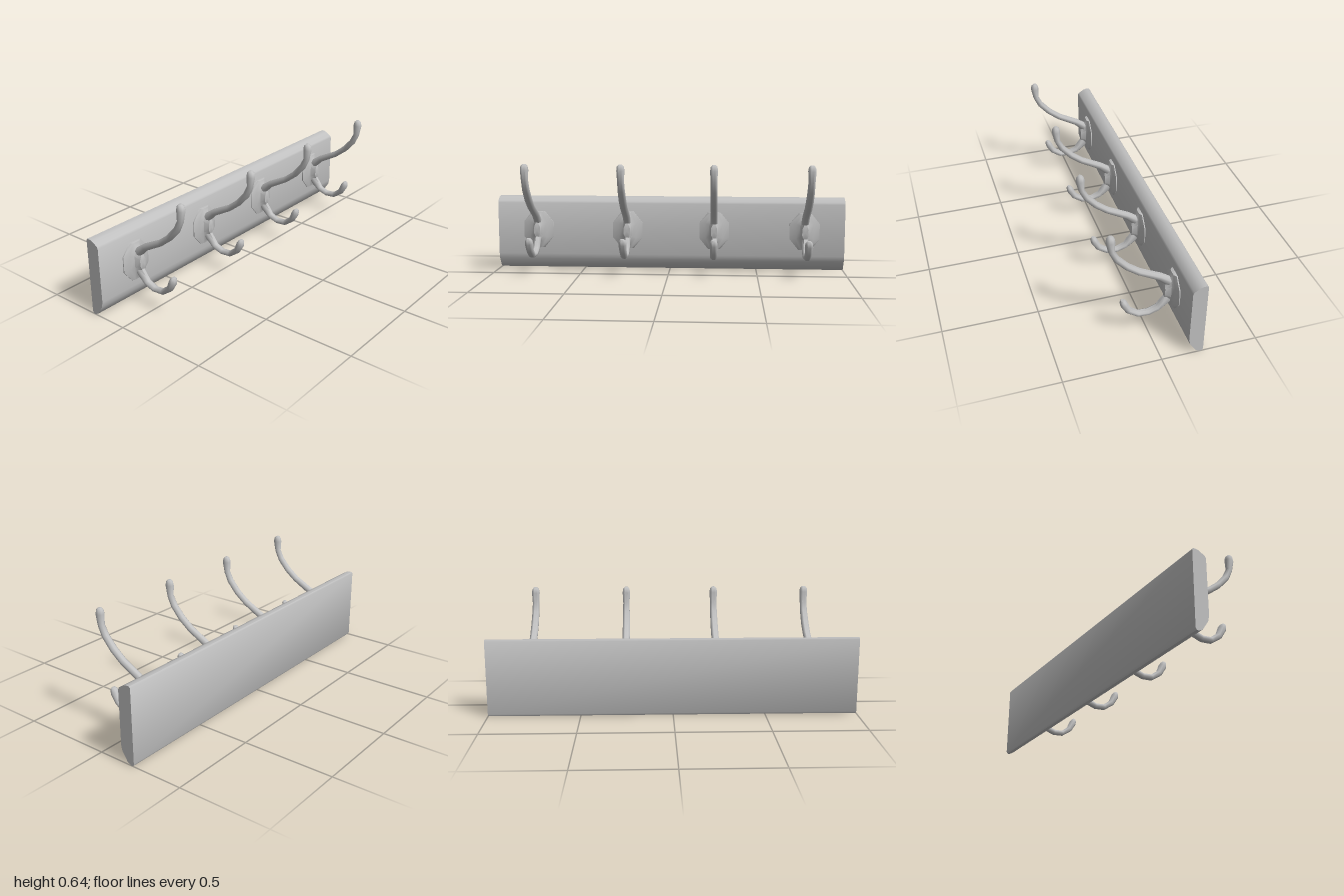
import * as THREE from 'three';
import { toCreasedNormals } from 'three/addons/utils/BufferGeometryUtils.js';

const SIDES = 8;

// Closed skin over rings { y, z, rx, vy, vz }: each spans rx along x and the vector (vy, vz) in the y-z plane.
function loft(rings) {
  const pos = [], idx = [];
  const scale = 1 / Math.cos(Math.PI / SIDES); // flats, not corners, touch the given radius
  for (const r of rings) {
    for (let j = 0; j < SIDES; j++) {
      const a = ((j + 0.5) / SIDES) * Math.PI * 2;
      const s = Math.sin(a) * scale;
      pos.push(r.rx * Math.cos(a) * scale, r.y + r.vy * s, r.z + r.vz * s);
    }
  }
  const last = rings.length - 1;
  const start = pos.length / 3, end = start + 1;
  pos.push(0, rings[0].y, rings[0].z, 0, rings[last].y, rings[last].z);
  for (let j = 0; j < SIDES; j++) {
    const k = (j + 1) % SIDES;
    for (let i = 0; i < last; i++) {
      const a = i * SIDES + j, b = i * SIDES + k;
      idx.push(a, b, a + SIDES, b, b + SIDES, a + SIDES);
    }
    idx.push(k, j, start, last * SIDES + j, last * SIDES + k, end);
  }
  const g = new THREE.BufferGeometry();
  g.setAttribute('position', new THREE.Float32BufferAttribute(pos, 3));
  g.setIndex(idx);
  return toCreasedNormals(g, 0.95);
}

// Tapering arm along points [z, y, radius in side view, half width].
function arm(points) {
  return loft(points.map(([z, y, r, rx], i) => {
    const p = points[Math.max(i - 1, 0)], n = points[Math.min(i + 1, points.length - 1)];
    const dz = n[0] - p[0], dy = n[1] - p[1], len = Math.hypot(dz, dy);
    return { y, z, rx, vy: (r * dz) / len, vz: (-r * dy) / len };
  }));
}

export function createModel() {
  const model = new THREE.Group();
  model.name = 'hookRail';
  const grey = new THREE.MeshStandardMaterial({ color: 0xc0c0c0 });
  grey.name = 'grey';

  // Board: side profile (depth, height) extruded along x
  const profile = [
    [0.138, 0.09], [0.145, 0.06], [0.178, 0.011], [0.198, 0.001], [0.21, 0.002], [0.216, 0.013],
    [0.216, 0.415], [0.21, 0.423], [0.192, 0.423], [0.175, 0.418], [0.145, 0.399], [0.139, 0.388],
  ];
  const shape = new THREE.Shape(profile.map(([x, y]) => new THREE.Vector2(x, y)));
  const boardGeo = new THREE.ExtrudeGeometry(shape, { depth: 2, bevelEnabled: false });
  boardGeo.translate(0, 0, -1).rotateY(Math.PI / 2);
  const board = new THREE.Mesh(toCreasedNormals(boardGeo, 0.8), grey);
  board.name = 'board';
  model.add(board);

  // Mounting plate narrowing into the stem: [z, half width, half height]
  const plateGeo = loft([
    [-0.142, 0.085, 0.106], [-0.133, 0.085, 0.106], [-0.123, 0.05, 0.104],
    [-0.115, 0.026, 0.082], [-0.085, 0.018, 0.042],
  ].map(([z, rx, vy]) => ({ y: 0.235, z, rx, vy, vz: 0 })));

  // Long upper arm with a swollen tip
  const upperGeo = arm([
    [-0.11, 0.288, 0.024, 0.02], [-0.06, 0.33, 0.018, 0.02], [0.05, 0.389, 0.016, 0.02],
    [0.112, 0.437, 0.016, 0.02], [0.165, 0.496, 0.016, 0.019], [0.19, 0.547, 0.015, 0.018],
    [0.195, 0.606, 0.022, 0.021], [0.195, 0.627, 0.018, 0.018], [0.195, 0.638, 0.008, 0.009],
  ]);

  // Short lower arm curling up
  const lowerGeo = arm([
    [-0.11, 0.185, 0.028, 0.018], [-0.078, 0.153, 0.022, 0.019], [-0.055, 0.129, 0.017, 0.019],
    [-0.005, 0.111, 0.015, 0.019], [0.05, 0.115, 0.015, 0.019], [0.099, 0.15, 0.016, 0.019],
    [0.122, 0.194, 0.019, 0.022], [0.129, 0.213, 0.015, 0.018], [0.131, 0.223, 0.008, 0.01],
  ]);

  // Four hooks along the board
  [-0.763, -0.243, 0.256, 0.772].forEach((x, i) => {
    const hook = new THREE.Group();
    hook.name = `hook${i + 1}`;
    const parts = { mountingPlate: plateGeo, upperArm: upperGeo, lowerArm: lowerGeo };
    for (const [name, geo] of Object.entries(parts)) {
      const mesh = new THREE.Mesh(geo, grey);
      mesh.name = name;
      hook.add(mesh);
    }
    hook.position.x = x;
    model.add(hook);
  });

  return model;
}
